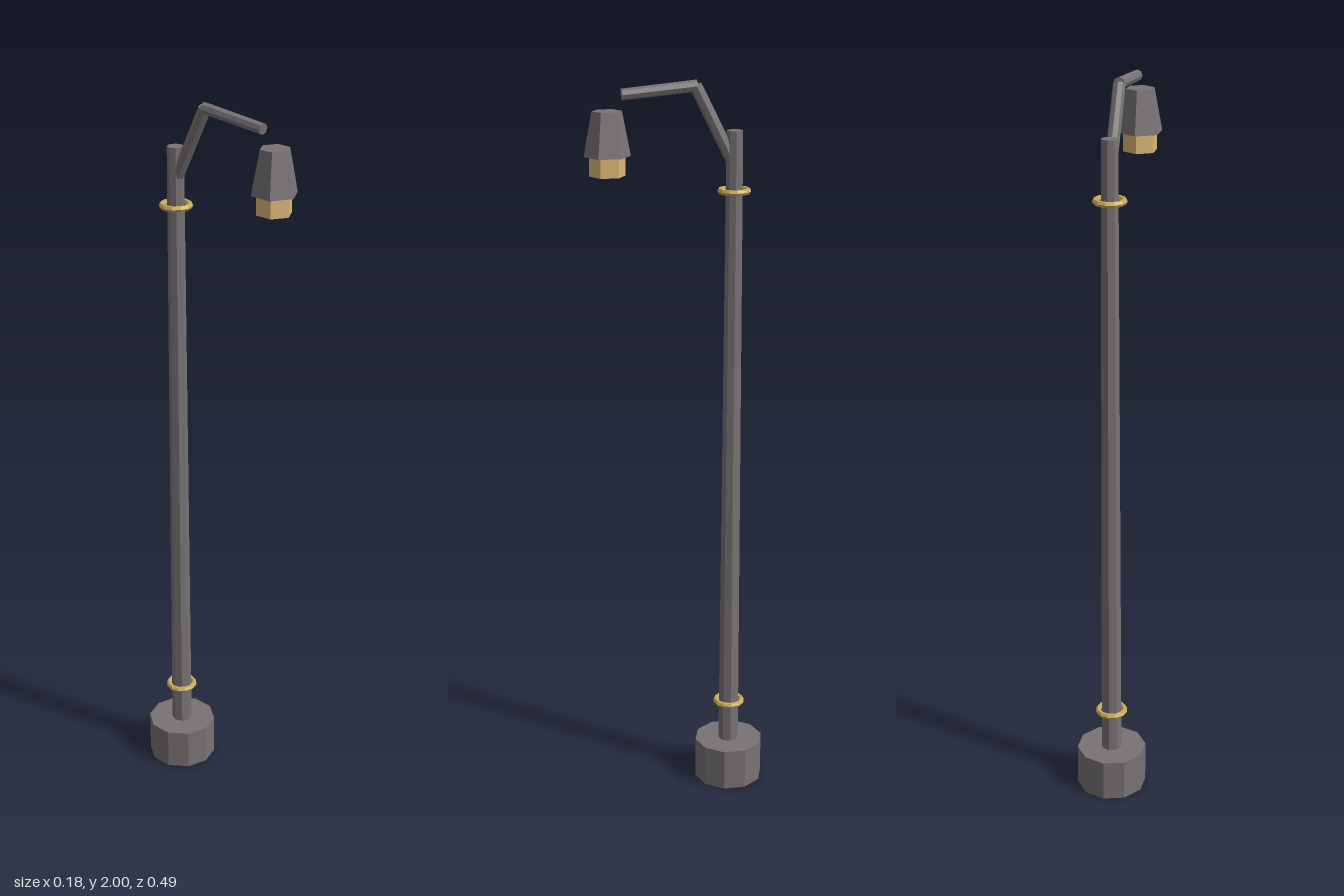
import * as THREE from 'three';

const metal = new THREE.MeshStandardMaterial({ color: 0x787374, flatShading: true });
const brass = new THREE.MeshStandardMaterial({ color: 0xc9aa5c, flatShading: true });
const glow = new THREE.MeshStandardMaterial({ color: 0xdeb878, flatShading: true });

export function createModel() {
  const group = new THREE.Group();
  const poleZ = -0.15;
  const lampZ = 0.182;

  const add = (name, geometry, material) => {
    const mesh = new THREE.Mesh(geometry, material);
    mesh.name = name;
    group.add(mesh);
    return mesh;
  };

  // Upright faceted cylinder between two heights
  const column = (name, rTop, rBottom, y0, y1, z, sides, material) =>
    add(name, new THREE.CylinderGeometry(rTop, rBottom, y1 - y0, sides), material)
      .position.set(0, (y0 + y1) / 2, z);

  // Straight rod between two points in the x = 0 plane
  const rod = (name, [y0, z0], [y1, z1], r0, r1) => {
    const from = new THREE.Vector3(0, y0, z0);
    const to = new THREE.Vector3(0, y1, z1);
    const dir = to.clone().sub(from);
    const mesh = add(name, new THREE.CylinderGeometry(r1, r0, dir.length(), 8), metal);
    mesh.position.copy(from).add(to).multiplyScalar(0.5);
    mesh.quaternion.setFromUnitVectors(new THREE.Vector3(0, 1, 0), dir.normalize());
  };

  // Foot and tapered pole
  column('base', 0.097, 0.097, 0, 0.118, poleZ, 10, metal);
  column('pole', 0.022, 0.029, 0.1, 1.87, poleZ, 8, metal);

  // Brass collars around the pole
  for (const [name, y] of [['lowerRing', 0.236], ['upperRing', 1.714]]) {
    const ring = add(name, new THREE.TorusGeometry(0.037, 0.008, 6, 12), brass);
    ring.rotation.x = Math.PI / 2;
    ring.position.set(0, y, poleZ);
  }

  // Bent arm
  rod('lowerArm', [1.78, -0.15], [1.985, -0.047], 0.0165, 0.0165);
  rod('upperArm', [1.985, -0.051], [1.967, 0.144], 0.0155, 0.0148);

  // Six-sided lamp
  column('lampShade', 0.039, 0.061, 1.813, 1.927, lampZ, 6, metal);
  column('lampBulb', 0.047, 0.047, 1.763, 1.82, lampZ, 6, glow);

  return group;
}
